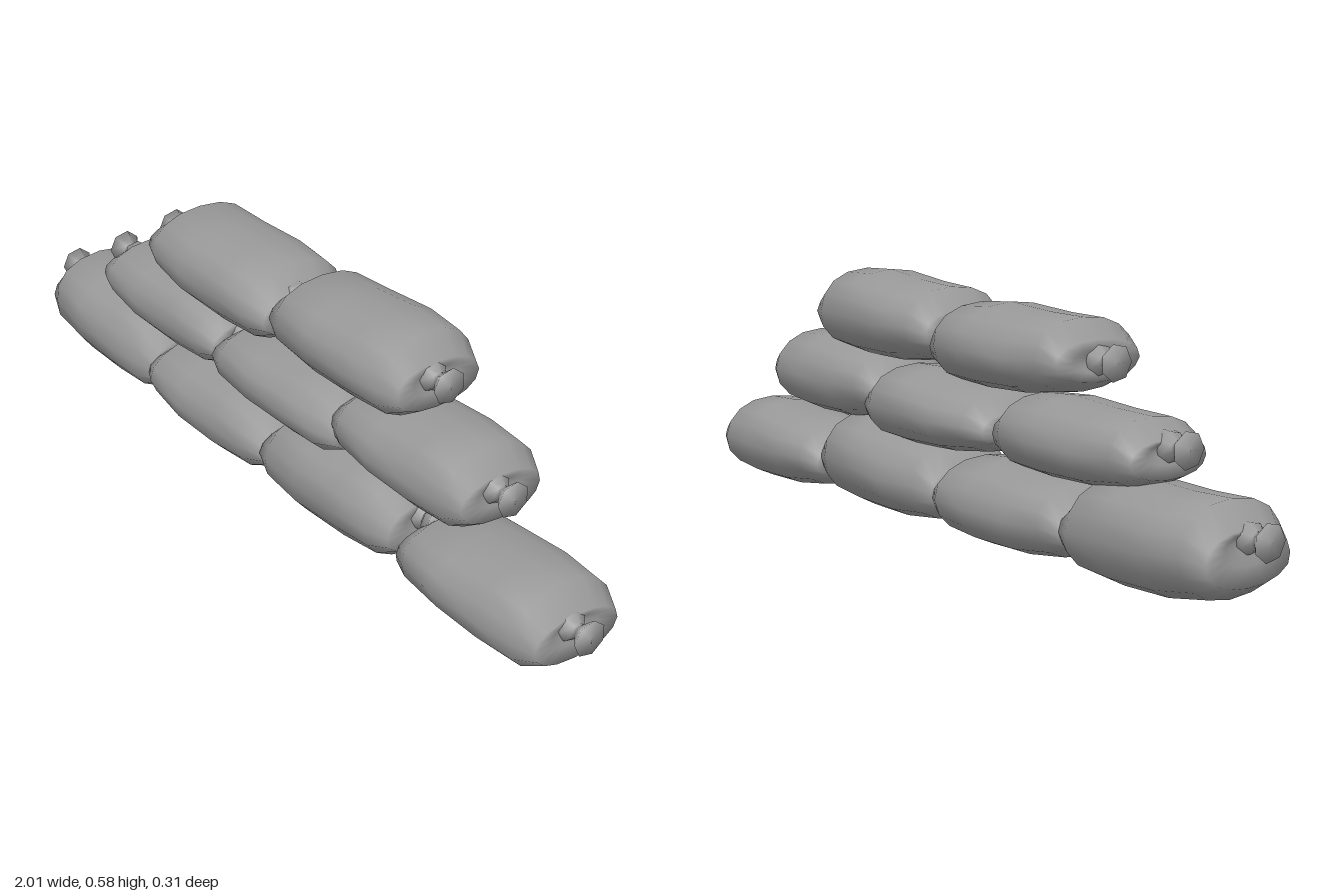
import * as THREE from 'three';

const cloth = new THREE.MeshStandardMaterial({ color: 0x999999 });
cloth.name = 'grey sackcloth';

const SIDES = 16;

// Shared bag outline: position along the bag, top drop and bottom lift (of the height), width
const STATIONS = [
  { f: 0, drop: 0.26, lift: 0.23, width: 0.78 },
  { f: 0.11, drop: 0.02, lift: 0.09, width: 0.94 },
  { f: 0.36, drop: 0.02, lift: 0.01, width: 1 },
  { f: 0.66, drop: -0.02, lift: 0, width: 1 },
  { f: 0.89, drop: 0.03, lift: 0.04, width: 0.95 },
  { f: 1, drop: 0.27, lift: 0.2, width: 0.78 },
];

// Each bag from right end to left end: x, top, bottom, knot height; then half depth
const BAGS = [
  { x: [-0.95, -0.485], top: [0.245, 0.225], low: [0.01, 0.005], knot: [0.165, 0.12], depth: 0.145 },
  { x: [-0.49, -0.015], top: [0.195, 0.2], low: [0.012, 0.006], knot: [0.11, 0.11], depth: 0.15 },
  { x: [-0.01, 0.465], top: [0.213, 0.24], low: [0.004, 0.014], knot: [0.12, 0.14], depth: 0.15 },
  { x: [0.49, 0.945], top: [0.184, 0.205], low: [0.006, 0], knot: [0.14, 0.122], depth: 0.145 },
  { x: [-0.705, -0.225], top: [0.37, 0.373], low: [0.203, 0.192], knot: [0.31, 0.29], depth: 0.13 },
  { x: [-0.205, 0.265], top: [0.355, 0.378], low: [0.203, 0.185], knot: [0.28, 0.28], depth: 0.148 },
  { x: [0.245, 0.695], top: [0.395, 0.412], low: [0.215, 0.21], knot: [0.3, 0.325], depth: 0.138 },
  { x: [-0.47, 0], top: [0.552, 0.55], low: [0.372, 0.355], knot: [0.46, 0.48], depth: 0.145 },
  { x: [0.02, 0.48], top: [0.567, 0.585], low: [0.378, 0.378], knot: [0.48, 0.495], depth: 0.142 },
];

// Skin the bag over rounded cross-sections, with both ends tucked in
function bagGeometry({ x, top, low, knot, depth }, seed) {
  const lerp = THREE.MathUtils.lerp;
  const rings = STATIONS.map(({ f, drop, lift, width }) => {
    const upper = lerp(top[0], top[1], f), lower = lerp(low[0], low[1], f);
    const height = upper - lower;
    const y1 = upper - drop * height, y0 = lower + lift * height;
    return { x: lerp(x[0], x[1], f), y: (y1 + y0) / 2, ry: (y1 - y0) / 2, rz: depth * width };
  });
  const tuck = (r, ky, s, dx) => ({ x: r.x + dx, y: lerp(ky, r.y, s), ry: r.ry * s, rz: r.rz * s });
  const first = rings[0], last = rings[rings.length - 1];
  rings.unshift(tuck(first, knot[0], 0.1, 0.015), tuck(first, knot[0], 0.55, 0.003));
  rings.push(tuck(last, knot[1], 0.55, -0.003), tuck(last, knot[1], 0.1, -0.015));

  const pos = [], index = [];
  rings.forEach((r, i) => {
    for (let j = 0; j < SIDES; j++) {
      const a = (j / SIDES) * Math.PI * 2;
      const c = Math.cos(a), s = Math.sin(a);
      const lump = 1 + 0.025 * Math.sin(seed * 2.3 + i * 1.7 + j * 1.1) * Math.abs(c);
      pos.push(
        r.x,
        r.y + r.ry * Math.sign(s) * Math.abs(s) ** 0.92,
        r.rz * Math.sign(c) * Math.abs(c) ** 0.9 * lump
      );
      if (i < rings.length - 1) {
        const p = i * SIDES + j, q = i * SIDES + ((j + 1) % SIDES);
        index.push(p, p + SIDES, q, q, p + SIDES, q + SIDES);
      }
    }
  });
  const g = new THREE.BufferGeometry();
  g.setAttribute('position', new THREE.Float32BufferAttribute(pos, 3));
  g.setIndex(index);
  g.computeVertexNormals();
  return g;
}

// Tied neck that flares into a seven-sided tuft
const knotProfile = [[0.036, -0.02], [0.034, 0], [0.018, 0.016], [0.019, 0.024], [0.042, 0.05], [0, 0.055]];
const knotGeometry = new THREE.LatheGeometry(knotProfile.map(([r, y]) => new THREE.Vector2(r, y)), 7);

export function createModel() {
  const model = new THREE.Group();
  model.name = 'sandbagWall';
  BAGS.forEach((bag, n) => {
    const group = new THREE.Group();
    group.name = 'sandbag' + (n + 1);
    const body = new THREE.Mesh(bagGeometry(bag, n), cloth);
    body.name = 'bagBody';
    group.add(body);
    [-1, 1].forEach((side, e) => {
      const knot = new THREE.Mesh(knotGeometry, cloth);
      knot.name = side < 0 ? 'rightKnot' : 'leftKnot';
      knot.position.set(bag.x[e], bag.knot[e], 0.01);
      knot.rotation.z = -side * Math.PI / 2;
      group.add(knot);
    });
    model.add(group);
  });
  return model;
}
